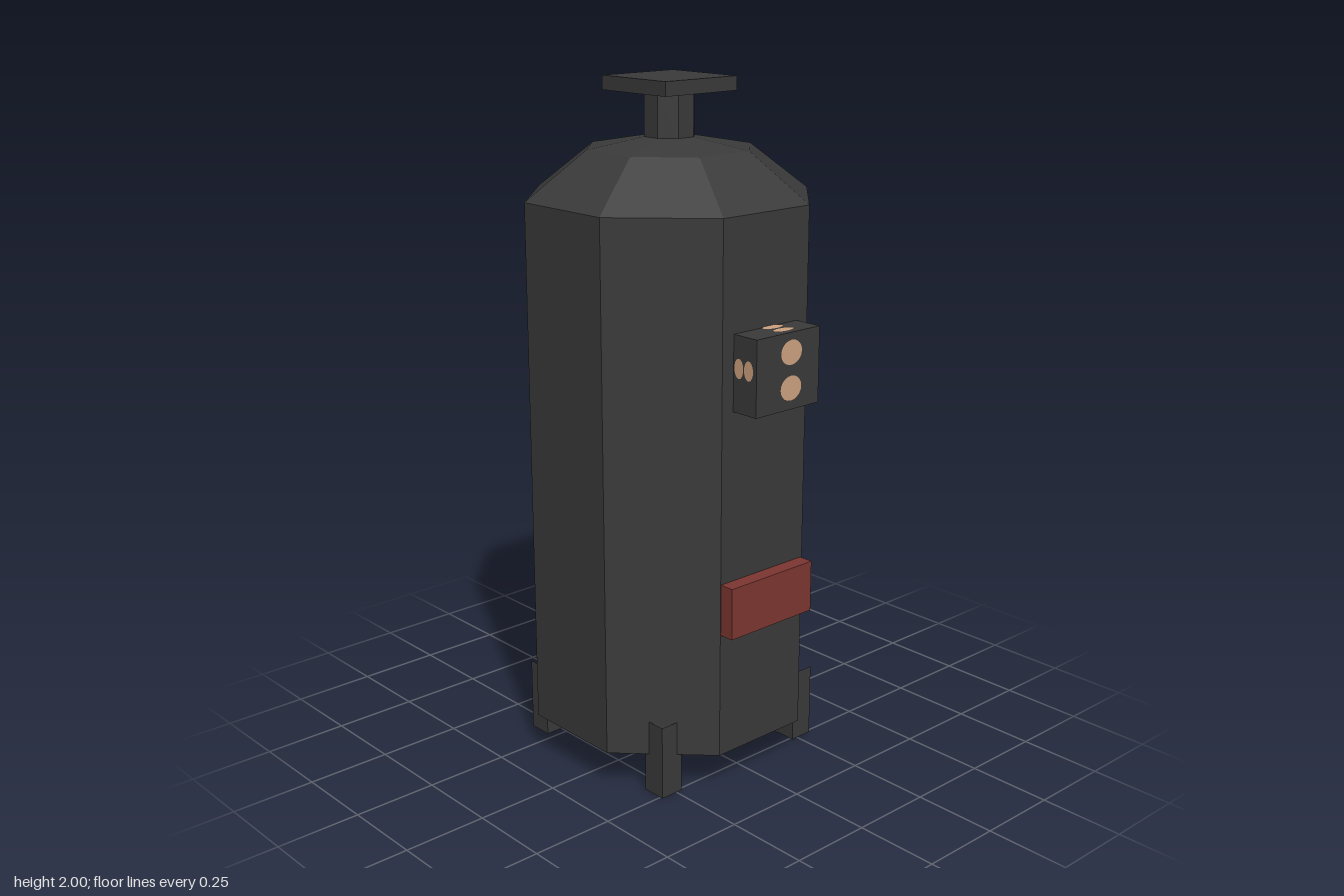
import * as THREE from 'three';

export function createModel() {
  const model = new THREE.Group();
  const iron = new THREE.MeshStandardMaterial({ color: 0x3a3a3a, flatShading: true, side: THREE.DoubleSide });
  iron.name = 'dark iron';
  const red = new THREE.MeshStandardMaterial({ color: 0x7c3630, flatShading: true });
  red.name = 'red door';
  const tan = new THREE.MeshStandardMaterial({ color: 0xcda27f, side: THREE.DoubleSide });
  tan.name = 'tan dial';
  const axisZ = -0.045;

  function add(name, geometry, material, x, y, z) {
    const mesh = new THREE.Mesh(geometry, material);
    mesh.name = name;
    mesh.position.set(x, y, z);
    model.add(mesh);
    return mesh;
  }

  // Eight-sided shell from [apothem, height] pairs, flat sides facing the axes
  function octagon(name, profile) {
    const points = profile.map(([a, y]) => new THREE.Vector2(a / Math.cos(Math.PI / 8), y));
    add(name, new THREE.LatheGeometry(points, 8, Math.PI / 8), iron, 0, 0, axisZ);
  }
  octagon('tankBase', [[0.25, 0.095], [0.39, 0.12]]);
  octagon('tankBody', [[0.39, 0.12], [0.39, 1.67]]);
  octagon('domedTop', [[0.39, 1.67], [0.225, 1.805], [0.069, 1.835]]);
  octagon('chimneyNeck', [[0.069, 1.83], [0.069, 1.96]]);
  add('chimneyCap', new THREE.BoxGeometry(0.264, 0.04, 0.264), iron, 0, 1.98, axisZ);

  // Four legs, single-sided and open at the top
  const legIron = iron.clone();
  legIron.side = THREE.FrontSide;
  for (const sx of [-1, 1]) {
    for (const sz of [-1, 1]) {
      const box = new THREE.BoxGeometry(0.074, 0.222, 0.074);
      const index = Array.from(box.index.array);
      index.splice(12, 6);
      box.setIndex(index);
      box.clearGroups();
      add('leg', box, legIron, sx * 0.267, 0.111, axisZ + sz * 0.267);
    }
  }

  // Firebox door and gauge box on the front
  add('fireDoor', new THREE.BoxGeometry(0.316, 0.152, 0.085), red, -0.002, 0.57, 0.347);
  add('gaugeBox', new THREE.BoxGeometry(0.24, 0.216, 0.125), iron, 0, 1.247, 0.37);

  // Oval dials on every exposed face of the gauge box
  function dial(x, y, z, rx, ry, turnX, turnY) {
    const mesh = add('dial', new THREE.CircleGeometry(1, 20), tan, x, y, z);
    mesh.scale.set(rx, ry, 1);
    mesh.rotation.set(turnX, turnY, 0);
  }
  const quarter = Math.PI / 2;
  for (const y of [1.3, 1.2]) dial(0.01, y, 0.4345, 0.04, 0.035, 0, 0);
  for (const z of [0.4, 0.36]) {
    dial(0.012, 1.357, z, 0.037, 0.018, -quarter, 0);
    dial(0.012, 1.137, z, 0.037, 0.018, quarter, 0);
  }
  for (const z of [0.404, 0.367]) {
    for (const s of [-1, 1]) dial(s * 0.122, 1.264, z, 0.017, 0.028, 0, s * quarter);
  }
  return model;
}
